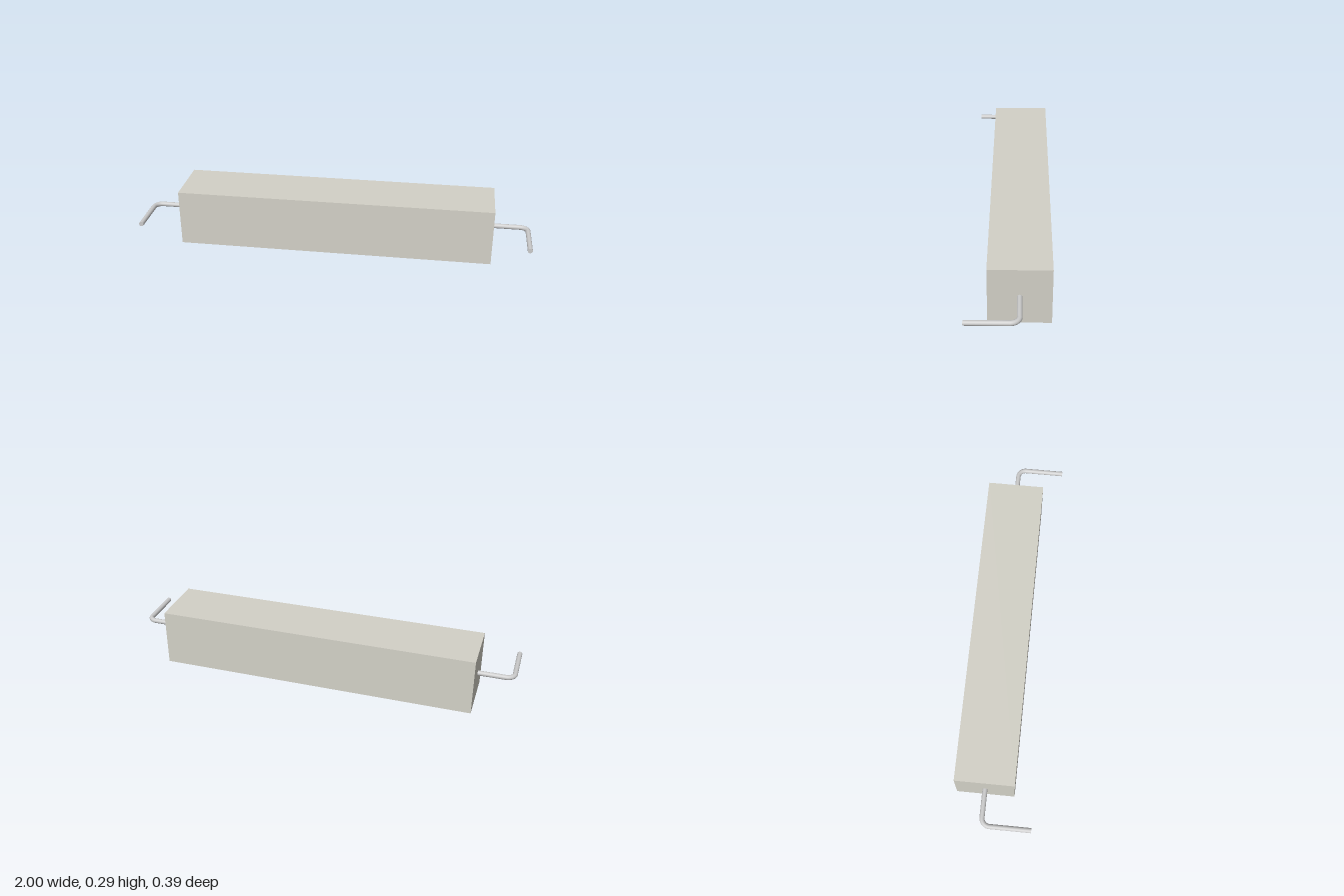
import * as THREE from 'three';

const BODY_LENGTH = 1.618, BODY_SIZE = 0.292, BODY_Z = -0.048;
const WIRE = 0.0125, BEND = 0.04;
const LEAD_X = 1 - WIRE, LEAD_TIP_Z = 0.195;

// One bent wire lead on the +x end, with its axis at y = 0
function createLead(material) {
  const lead = new THREE.Group();
  const add = (name, geometry, x, z) => {
    const mesh = new THREE.Mesh(geometry, material);
    mesh.name = name;
    mesh.position.set(x, 0, z);
    lead.add(mesh);
  };
  const bendX = LEAD_X - BEND, bendZ = BODY_Z + BEND;

  // Straight part leaving the end face
  const startX = BODY_LENGTH / 2 - 0.005, outLength = bendX - startX;
  add('leadRoot', new THREE.CylinderGeometry(WIRE, WIRE, outLength, 20).rotateZ(Math.PI / 2),
    startX + outLength / 2, BODY_Z);

  // Quarter-turn bend
  add('leadBend', new THREE.TorusGeometry(BEND, WIRE, 20, 10, Math.PI / 2).rotateX(-Math.PI / 2),
    bendX, bendZ);

  // Straight pin pointing forward
  const pinLength = LEAD_TIP_Z - bendZ;
  add('leadPin', new THREE.CylinderGeometry(WIRE, WIRE, pinLength, 20).rotateX(Math.PI / 2),
    LEAD_X, bendZ + pinLength / 2);
  return lead;
}

export function createModel() {
  const model = new THREE.Group();
  model.name = 'powerResistor';

  // Square ceramic block
  const body = new THREE.Mesh(
    new THREE.BoxGeometry(BODY_LENGTH, BODY_SIZE, BODY_SIZE),
    new THREE.MeshStandardMaterial({ color: 0xd3d1c7 }));
  body.name = 'ceramicBody';
  body.position.set(0, BODY_SIZE / 2, BODY_Z);
  model.add(body);

  // Leads at both ends; the second is turned half round the z axis
  const metal = new THREE.MeshStandardMaterial({ color: 0xcccccc });
  for (const [name, turn] of [['leftLead', 0], ['rightLead', Math.PI]]) {
    const lead = createLead(metal);
    lead.name = name;
    lead.position.y = BODY_SIZE / 2;
    lead.rotation.z = turn;
    model.add(lead);
  }
  return model;
}
